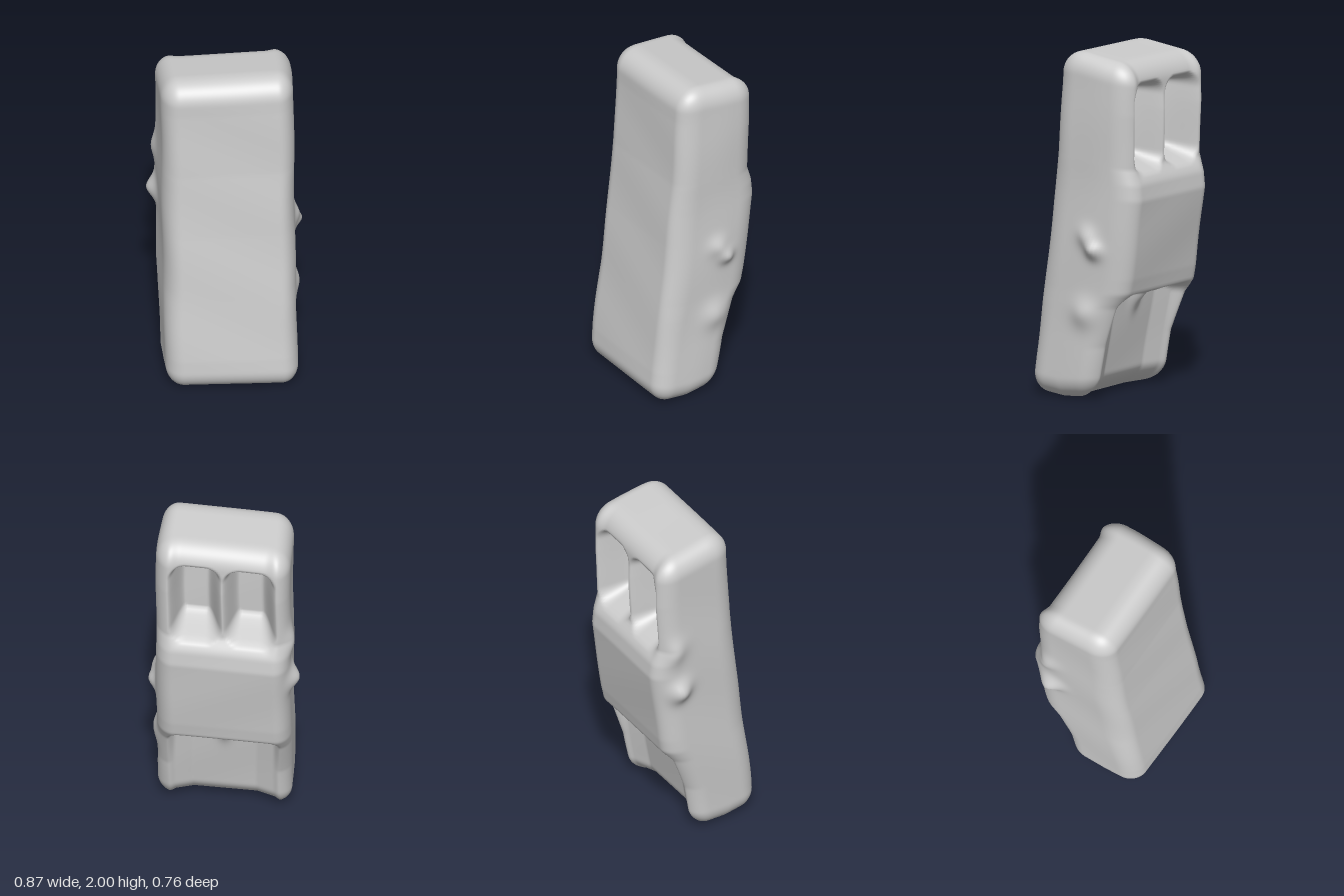
import * as THREE from 'three';
import { mergeVertices } from 'three/addons/utils/BufferGeometryUtils.js';

const HALF = new THREE.Vector3(0.383, 0.995, 0.35);
const ROUND = new THREE.Vector3(0.1, 0.12, 0.17);
const INNER_MAX = HALF.clone().sub(ROUND);
const INNER_MIN = INNER_MAX.clone().negate();
const { lerp, smoothstep } = THREE.MathUtils;

// Side profiles as [y, z]
const FRONT = [[0, 0.37], [0.2, 0.352], [0.6, 0.3], [1, 0.249], [1.4, 0.205], [1.8, 0.177], [2, 0.17]];
const BACK = [[0, -0.07], [0.1, -0.09], [0.3, -0.128], [0.54, -0.215], [0.63, -0.275], [0.72, -0.292],
  [1.2, -0.354], [1.29, -0.344], [1.38, -0.315], [1.7, -0.328], [2, -0.325]];

// Recesses in the back: centre, half size, corner radius, wall softness and floor depth z(x, y)
const slotFloor = (x, y) => -0.1 - 0.03 * (y - 1.3);
const trayFloor = (x, y) => -0.005 - 0.17 * y
  - 0.45 * Math.max(0, Math.abs(x) - 0.18)
  - 0.08 * bump(x / 0.04, (y - 0.62) / 0.1)
  + 0.1 * Math.max(0, 1 - y / 0.12) ** 2;
const RECESSES = [
  { x: 0.155, y: 1.615, hx: 0.143, hy: 0.26, r: 0.09, soft: 0.08, floor: slotFloor },
  { x: -0.155, y: 1.615, hx: 0.143, hy: 0.26, r: 0.09, soft: 0.08, floor: slotFloor },
  { x: 0, y: 0.1, hx: 0.31, hy: 0.51, r: 0.07, soft: 0.03, floor: trayFloor },
];

// Lumps on the sides: side, y, z, height, radius
const LUMPS = [
  [1, 0.95, -0.05, 0.03, 0.06], [1, 0.88, -0.1, 0.045, 0.05], [1, 0.5, -0.03, 0.03, 0.08],
  [-1, 1.08, -0.2, 0.055, 0.07], [-1, 1.37, -0.24, 0.025, 0.08],
];

function bump(a, b) {
  return Math.exp(-(a * a + b * b));
}

function sample(profile, y) {
  let i = 1;
  while (i < profile.length - 1 && y > profile[i][0]) i++;
  const [y0, z0] = profile[i - 1], [y1, z1] = profile[i];
  return lerp(z0, z1, (y - y0) / (y1 - y0));
}

// Signed distance to a rounded rectangle, turned into a soft 0..1 mask
function recessMask(c, x, y) {
  const qx = Math.abs(x - c.x) - c.hx + c.r, qy = Math.abs(y - c.y) - c.hy + c.r;
  const d = Math.hypot(Math.max(qx, 0), Math.max(qy, 0)) + Math.min(Math.max(qx, qy), 0) - c.r;
  return 1 - smoothstep(d, -c.soft, 0.015);
}

function shapePoint(p) {
  // Round the edges of the block
  const inner = p.clone().clamp(INNER_MIN, INNER_MAX);
  p.sub(inner).divide(ROUND).normalize().multiply(ROUND).add(inner);

  // Lean between the front and back profiles, the back hollowed slightly around the slots
  const y = p.y + HALF.y, t = p.z / (2 * HALF.z) + 0.5;
  const hollow = 0.022 * smoothstep(y, 1.3, 1.4) * (1 - smoothstep(Math.abs(p.x), 0.24, 0.32));
  let z = lerp(sample(BACK, y) + hollow, sample(FRONT, y), t);

  // Press in the recesses
  for (const c of RECESSES) {
    z += recessMask(c, p.x, y) * Math.max(0, c.floor(p.x, y) - z);
  }

  // Left side narrows toward the front
  let x = p.x - 0.06 * Math.max(0, p.x) * smoothstep(t, 0.3, 1);

  // Side lumps, strongest on the side walls
  for (const [side, ly, lz, h, r] of LUMPS) {
    const near = smoothstep(p.x * side, HALF.x - 0.06, HALF.x);
    x += side * near * h * bump((y - ly) / r, (z - lz) / r);
  }

  // Slight twist of the block, sloping top, bowed bottom and uneven surface
  const top = y / 2;
  p.set(
    x - 0.006 + 0.003 * Math.sin(9 * y + 5 * z),
    y + top * (0.035 * x - 0.14 * Math.max(0, 0.03 - z)) + (1 - top) ** 4 * 0.1 * Math.abs(z - 0.15),
    z + 0.075 * x + 0.002 * Math.sin(11 * y + 6 * x));
}

export function createModel() {
  const group = new THREE.Group();
  group.name = 'recessedBlock';

  let geometry = new THREE.BoxGeometry(2 * HALF.x, 2 * HALF.y, 2 * HALF.z, 76, 150, 30);
  geometry.deleteAttribute('normal');
  geometry.deleteAttribute('uv');
  geometry = mergeVertices(geometry);
  const pos = geometry.attributes.position;
  const p = new THREE.Vector3();
  for (let i = 0; i < pos.count; i++) {
    shapePoint(p.fromBufferAttribute(pos, i));
    pos.setXYZ(i, p.x, p.y, p.z);
  }
  geometry.computeBoundingBox();
  geometry.translate(0, -geometry.boundingBox.min.y, 0);
  geometry.computeVertexNormals();

  const body = new THREE.Mesh(geometry, new THREE.MeshStandardMaterial({ color: 0xcccccc }));
  body.name = 'body';
  group.add(body);
  return group;
}
